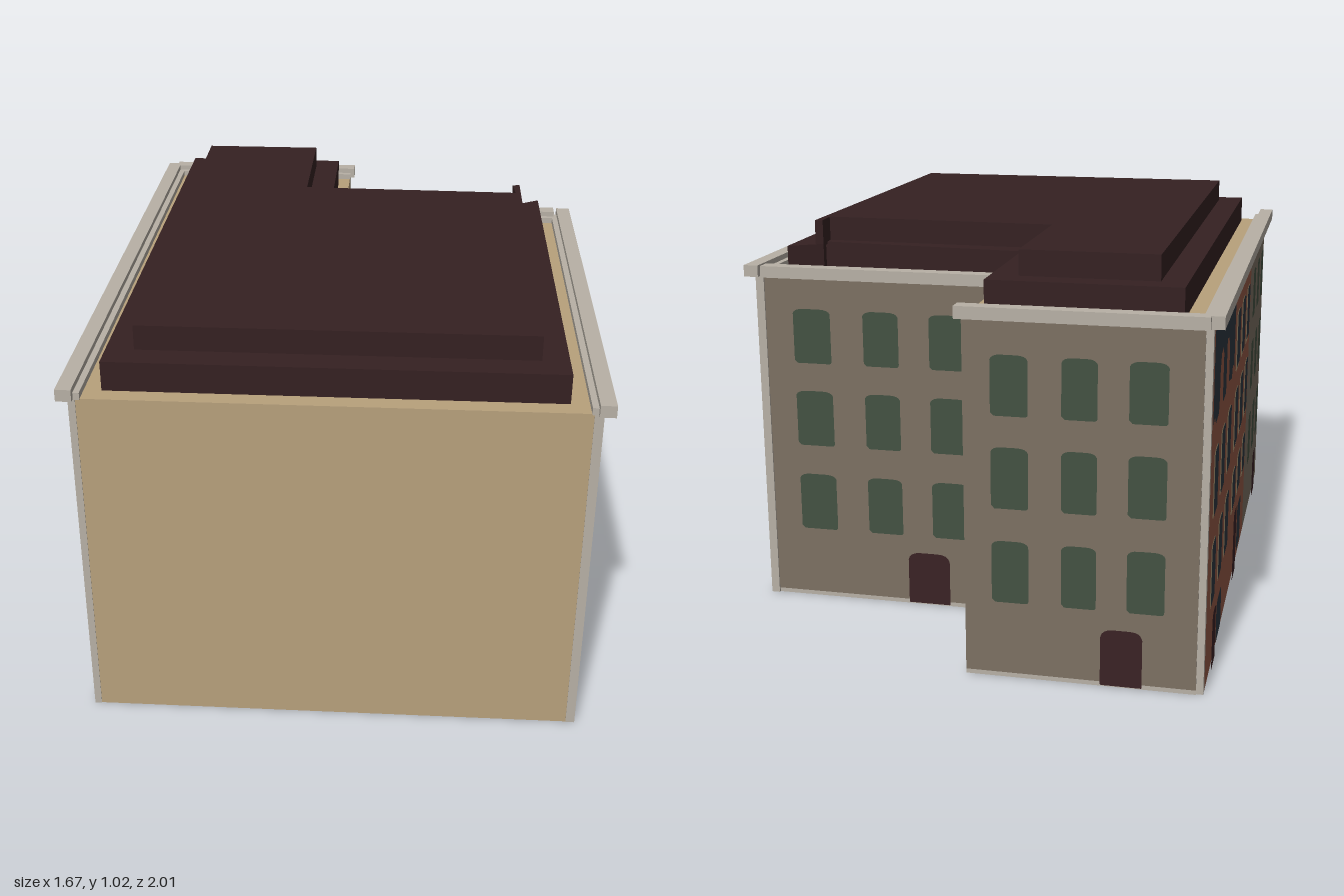
import * as THREE from 'three';

const material = (name, color) => {
  const m = new THREE.MeshStandardMaterial({ color });
  m.name = name;
  return m;
};

export function createModel() {
  const plaster = material('tan plaster', 0xb8a17c);
  const stone = material('pale stone', 0xb8b1a6);
  const roofing = material('dark roof', 0x352122);
  const brick = material('red brick', 0x965a46);
  const greyBrick = material('grey brick', 0x7c7163);
  const slate = material('slate blue', 0x2d3740);
  const green = material('green glass', 0x445243);
  const doorPaint = material('door brown', 0x3a2225);

  const model = new THREE.Group();
  model.name = 'cornerBuilding';
  const house = new THREE.Group();
  house.name = 'house';
  house.rotation.y = -0.392;
  model.add(house);

  const add = (parent, name, geometry, mat, x = 0, y = 0, z = 0) => {
    const mesh = new THREE.Mesh(geometry, mat);
    mesh.name = name;
    mesh.position.set(x, y, z);
    parent.add(mesh);
    return mesh;
  };
  const polygon = (pts) => new THREE.Shape(pts.map(([x, y]) => new THREE.Vector2(x, y)));

  // Extrudes a plan outline (x, distance toward the back) between two heights
  const block = (name, pts, y0, y1, mat) => {
    const g = new THREE.ExtrudeGeometry(polygon(pts), { depth: y1 - y0, bevelEnabled: false });
    g.rotateX(-Math.PI / 2);
    add(house, name, g, mat, 0, y0, 0);
  };

  // L-shaped body and two stepped roof tiers
  block('body', [[-0.536, -0.775], [0.65, -0.775], [0.65, 0.46], [0.018, 0.46],
    [0.018, 0.832], [-0.536, 0.832]], 0, 0.882, plaster);
  block('lowerRoof', [[-0.483, -0.73], [0.6, -0.73], [0.597, 0.441], [0.517, 0.391], [0.524, 0.354],
    [-0.016, 0.394], [-0.016, 0.777], [-0.48, 0.777]], 0.88, 0.956, roofing);
  block('upperRoof', [[-0.415, -0.66], [0.535, -0.66], [0.537, 0.395], [0.517, 0.391], [0.522, 0.325],
    [-0.084, 0.337], [-0.084, 0.715], [-0.417, 0.715]], 0.95, 1.018, roofing);

  // Opening outline with a shallow arched head and softened lower corners
  const opening = (x0, x1, y0, y1, arch = 0.012, r = 0.008) => {
    const s = new THREE.Shape();
    s.moveTo(x0 + r, y0);
    s.lineTo(x1 - r, y0);
    s.quadraticCurveTo(x1, y0, x1, y0 + r);
    s.lineTo(x1, y1 - arch);
    s.quadraticCurveTo(x1 - 0.004, y1, x1 - (x1 - x0) * 0.3, y1);
    s.lineTo(x0 + (x1 - x0) * 0.3, y1);
    s.quadraticCurveTo(x0 + 0.004, y1, x0, y1 - arch);
    s.lineTo(x0, y0 + r);
    return s;
  };
  const plate = (parent, name, shape, mat, z) =>
    add(parent, name, new THREE.ShapeGeometry(shape, 4), mat, 0, 0, z);
  const rect = (x0, x1, y0, y1) => polygon([[x0, y0], [x1, y0], [x1, y1], [x0, y1]]);

  // Painted bays: columns are fractions of the bay width, rows are heights
  const bays = {
    slateTop: {
      wall: brick, glass: slate, sill: 0.006,
      cols: [[0.11, 0.27], [0.42, 0.58], [0.72, 0.89]],
      rows: [[0.195, 0.35], [0.42, 0.58]],
      door: [0.22, 0.37, 0.15], shop: [0.4, 0.63, 0.03, 0.14],
      band: [[0, 0.882], [0, 0.655], [0.07, 0.668], [0.12, 0.645], [0.25, 0.65], [0.27, 0.68],
        [0.27, 0.75], [0.31, 0.785], [0.38, 0.79], [0.42, 0.77], [0.42, 0.65], [0.58, 0.65],
        [0.58, 0.785], [0.66, 0.78], [0.72, 0.75], [0.72, 0.66], [0.88, 0.645], [0.92, 0.675],
        [1, 0.66], [1, 0.882]],
    },
    redBrick: {
      wall: brick, glass: slate, sill: 0.012,
      cols: [[0.11, 0.28], [0.41, 0.58], [0.715, 0.87]],
      rows: [[0.24, 0.348], [0.42, 0.575], [0.64, 0.79]],
      door: [0.27, 0.44, 0.2], shop: [0.485, 0.69, 0.045, 0.185],
    },
    grey: {
      wall: greyBrick, glass: green, sill: 0,
      cols: [[0.12, 0.28], [0.42, 0.57], [0.7, 0.86]],
      rows: [[0.195, 0.35], [0.43, 0.58], [0.655, 0.8]],
      door: [0.59, 0.77, 0.148],
    },
  };

  const paintBay = (parent, bay, start, w) => {
    const X = (f) => start + f * w;
    plate(parent, 'wallFace', rect(start, start + w, 0.012, 0.882), bay.wall, 0.002);
    if (bay.band) {
      plate(parent, 'slateBand', polygon(bay.band.map(([f, y]) => [X(f), y])), slate, 0.004);
    }
    for (const [f0, f1] of bay.cols) for (const [y0, y1] of bay.rows) {
      if (bay.sill) {
        plate(parent, 'windowTrim',
          opening(X(f0) - bay.sill * 0.6, X(f1) + bay.sill * 0.3, y0 - bay.sill, y1), plaster, 0.004);
      }
      plate(parent, 'window', opening(X(f0), X(f1), y0, y1), bay.glass, 0.006);
    }
    const [d0, d1, top] = bay.door;
    plate(parent, 'door', opening(X(d0), X(d1), 0.005, top, 0.02, 0.002), doorPaint, 0.006);
    if (bay.shop) {
      const [s0, s1, y0, y1] = bay.shop;
      plate(parent, 'shopWindow', opening(X(s0), X(s1), y0, y1, 0.015, 0.012), slate, 0.006);
    }
  };

  // Facing slab, painted bays and cornice; the local x axis runs left to right seen from outside
  const facade = (name, x, z, turn, length, depth, overhang, bayList) => {
    const f = new THREE.Group();
    f.name = name;
    f.position.set(x, 0, z);
    f.rotation.y = turn;
    house.add(f);
    add(f, 'facing', new THREE.BoxGeometry(length, 0.882, depth), stone, length / 2, 0.441, -depth / 2);
    const w = length / bayList.length;
    bayList.forEach((b, i) => paintBay(f, bays[b], i * w, w));
    const l = length + overhang * 2;
    add(f, 'cornice', new THREE.BoxGeometry(l, 0.03, 0.038), stone, length / 2, 0.897, 0.006);
    add(f, 'corniceBack', new THREE.BoxGeometry(length, 0.018, 0.016), stone, length / 2, 0.889, -0.02);
  };

  facade('rightFacade', 0.672, 0.777, Math.PI / 2, 1.26, 0.022, 0.015, ['slateTop', 'redBrick']);
  facade('leftFacade', -0.553, -0.842, -Math.PI / 2, 1.619, 0.017, 0.015, ['slateTop', 'redBrick', 'grey']);
  facade('backFacade', 0.65, -0.477, Math.PI, 0.632, 0.017, 0, ['grey']);
  facade('wingBackFacade', 0.02, -0.846, Math.PI, 0.556, 0.014, 0.012, ['grey']);

  return model;
}
